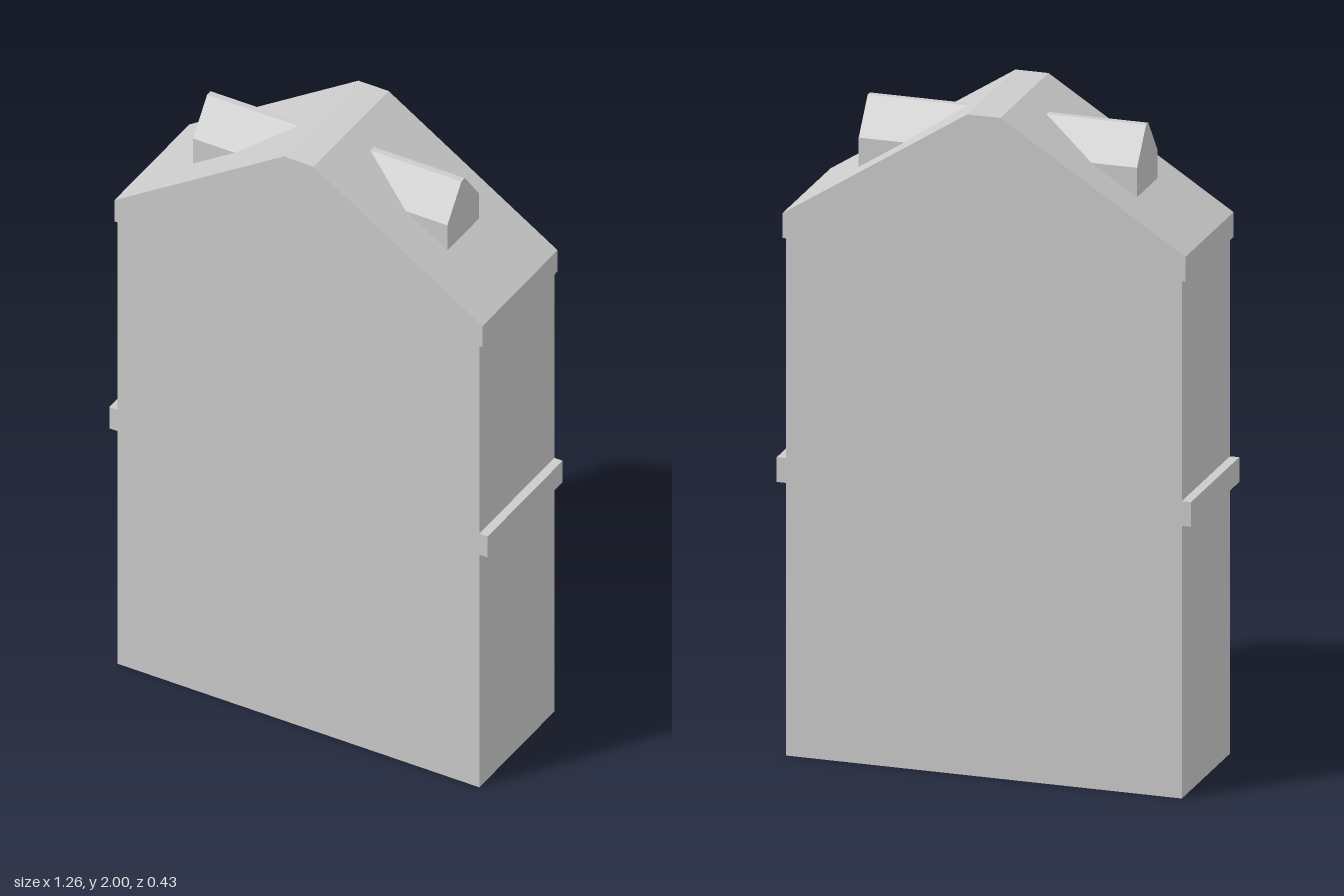
import * as THREE from 'three';

const DEPTH = 0.214; // half depth of the house
const material = new THREE.MeshStandardMaterial({ color: 0xcccccc, flatShading: true, side: THREE.DoubleSide });

function addMesh(parent, name, geometry) {
  const mesh = new THREE.Mesh(geometry, material);
  mesh.name = name;
  parent.add(mesh);
  return mesh;
}

// Sweeps an open outline from front to back, one flat panel per segment
function strip(points) {
  const pos = [];
  for (let i = 0; i < points.length - 1; i++) {
    const [ax, ay] = points[i], [bx, by] = points[i + 1];
    const a = [ax, ay, DEPTH], b = [ax, ay, -DEPTH], c = [bx, by, -DEPTH], d = [bx, by, DEPTH];
    pos.push(...a, ...b, ...c, ...a, ...c, ...d);
  }
  const g = new THREE.BufferGeometry();
  g.setAttribute('position', new THREE.Float32BufferAttribute(pos, 3));
  g.computeVertexNormals();
  return g;
}

// Half outlines, running up the +x side
const lowerWall = [[0.6, 0], [0.6, 0.825]];
const ledge = [[0.6, 0.825], [0.628, 0.825], [0.628, 0.9], [0.6, 0.9]];
const upperWall = [[0.6, 0.9], [0.6, 1.565]];
const eave = [[0.6, 1.565], [0.611, 1.565], [0.611, 1.64]];
const roofSlope = [[0.611, 1.64], [0.05, 2]];

// Height to x on the roof slope
const roofX = (y) => 0.05 + (2 - y) * (0.561 / 0.36);

// Dormer: a small gabled prism whose inner end is cut along the roof slope
function dormerGeometry() {
  const shape = new THREE.Shape([
    [-0.09, 1.756], [0.09, 1.756], [0.09, 1.85], [0.01, 1.955], [-0.01, 1.955], [-0.09, 1.85],
  ].map(([z, y]) => new THREE.Vector2(z, y)));
  const g = new THREE.ExtrudeGeometry(shape, { depth: 0.3, bevelEnabled: false });
  g.rotateY(Math.PI / 2);
  const p = g.attributes.position;
  for (let i = 0; i < p.count; i++) {
    p.setX(i, p.getX(i) > 0.15 ? 0.422 : Math.min(0.422, roofX(p.getY(i))));
  }
  g.computeVertexNormals();
  return g;
}

export function createModel() {
  const house = new THREE.Group();
  house.name = 'house';

  // Mirrored sides: walls, ledge, eave, roof slope and dormer
  for (const side of [1, -1]) {
    const half = new THREE.Group();
    half.name = side > 0 ? 'leftSide' : 'rightSide';
    half.scale.x = side;
    addMesh(half, 'lowerWall', strip(lowerWall));
    addMesh(half, 'ledge', strip(ledge));
    addMesh(half, 'upperWall', strip(upperWall));
    addMesh(half, 'eave', strip(eave));
    addMesh(half, 'roofSlope', strip(roofSlope));
    addMesh(half, 'dormer', dormerGeometry());
    house.add(half);
  }

  // Flat ridge cap
  addMesh(house, 'roofRidge', strip([[0.05, 2], [-0.05, 2]]));

  // Front and back gable walls; the base stays open
  const half = [...lowerWall, ...ledge.slice(1), ...upperWall.slice(1), ...eave.slice(1), ...roofSlope.slice(1)];
  const outline = [...half, ...half.map(([x, y]) => [-x, y]).reverse()];
  const gable = new THREE.ShapeGeometry(new THREE.Shape(outline.map(([x, y]) => new THREE.Vector2(x, y))));
  addMesh(house, 'frontGable', gable).position.z = DEPTH;
  const back = addMesh(house, 'backGable', gable);
  back.position.z = -DEPTH;
  back.rotation.y = Math.PI;

  return house;
}
